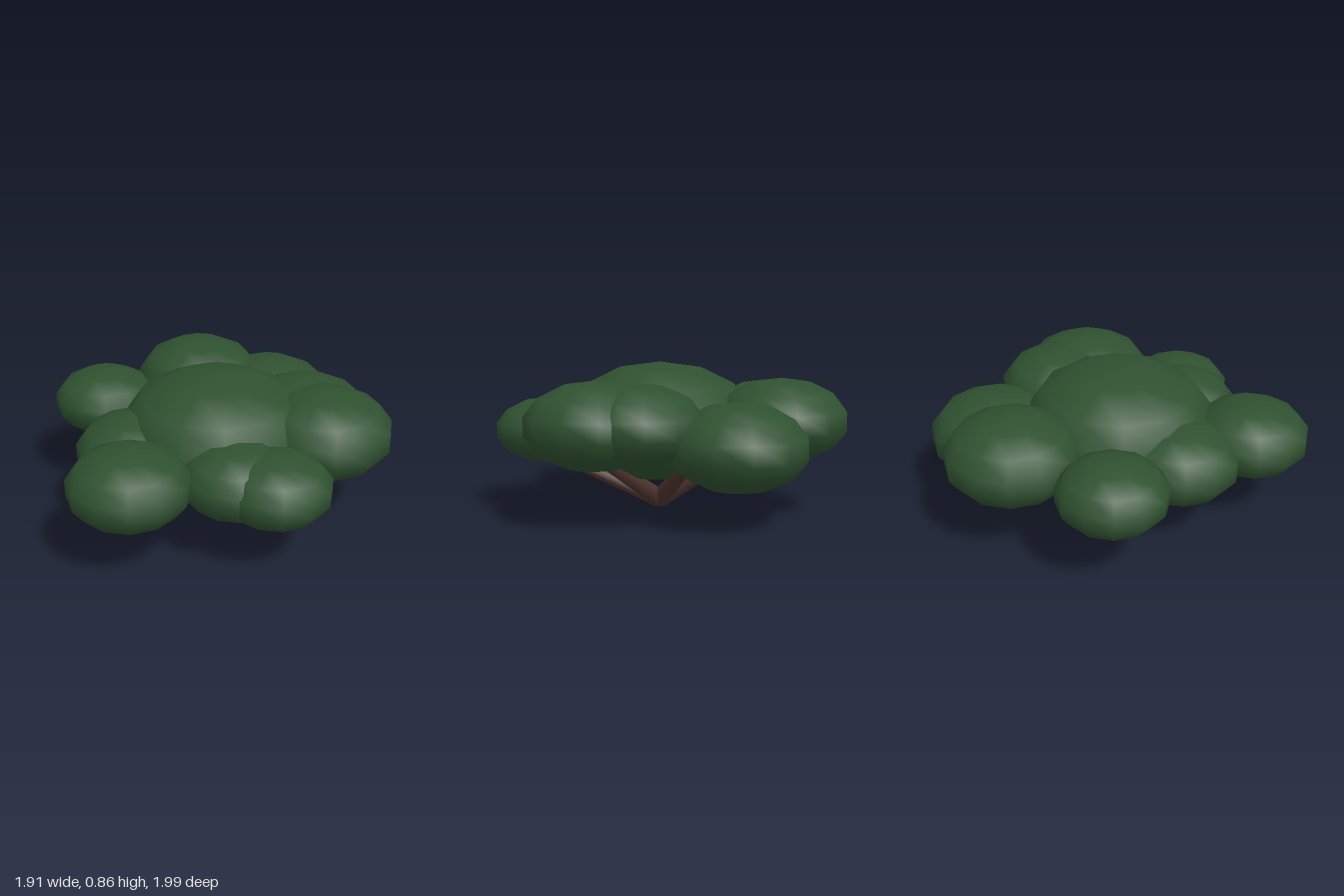
import * as THREE from 'three';

export function createModel() {
  const tree = new THREE.Group();
  tree.name = 'spreadingTree';

  const leafGreen = new THREE.MeshStandardMaterial({ color: 0x2f5130 });
  leafGreen.name = 'leafGreen';
  const barkBrown = new THREE.MeshStandardMaterial({ color: 0x4e342e });
  barkBrown.name = 'barkBrown';

  // Foliage: flattened spheres, [name, x, y, z, radius, half height]
  const clumps = [
    ['crownFoliage', -0.02, 0.515, 0.09, 0.565, 0.345],
    ['backFoliage', -0.08, 0.545, -0.63, 0.385, 0.237],
    ['backRightFoliage', 0.35, 0.44, -0.52, 0.39, 0.242],
    ['backLeftFoliage', -0.66, 0.53, -0.35, 0.308, 0.19],
    ['sideLeftFoliage', -0.48, 0.46, 0.2, 0.345, 0.215],
    ['frontLeftFoliage', -0.52, 0.495, 0.66, 0.338, 0.208],
    ['frontFoliage', 0.05, 0.47, 0.58, 0.32, 0.2],
    ['frontRightFoliage', 0.24, 0.465, 0.69, 0.306, 0.19],
    ['sideRightFoliage', 0.57, 0.545, 0.22, 0.392, 0.244],
    ['innerRightFoliage', 0.5, 0.55, 0.0, 0.368, 0.228],
  ];
  const ball = new THREE.SphereGeometry(1, 12, 7);
  for (const [name, x, y, z, r, h] of clumps) {
    const clump = new THREE.Mesh(ball, leafGreen);
    clump.name = name;
    clump.position.set(x, y, z);
    clump.scale.set(r, h, r);
    tree.add(clump);
  }

  // Branches: tapered limbs fanning out from one foot
  const foot = new THREE.Vector3(-0.02, 0.047, 0.09);
  const up = new THREE.Vector3(0, 1, 0);
  const tips = [
    ['backLeftBranch', -0.56, 0.34, -0.24],
    ['frontRightBranch', 0.28, 0.34, 0.65],
    ['rightBranch', 0.54, 0.4, 0.27],
    ['backRightBranch', 0.38, 0.4, -0.3],
    ['backBranch', -0.07, 0.42, -0.5],
  ];
  for (const [name, x, y, z] of tips) {
    const span = new THREE.Vector3(x, y, z).sub(foot);
    const length = span.length();
    const branch = new THREE.Mesh(new THREE.CylinderGeometry(0.032, 0.054, length, 8), barkBrown);
    branch.name = name;
    branch.position.copy(foot).addScaledVector(span, 0.5);
    branch.quaternion.setFromUnitVectors(up, span.normalize());
    tree.add(branch);
  }

  return tree;
}
